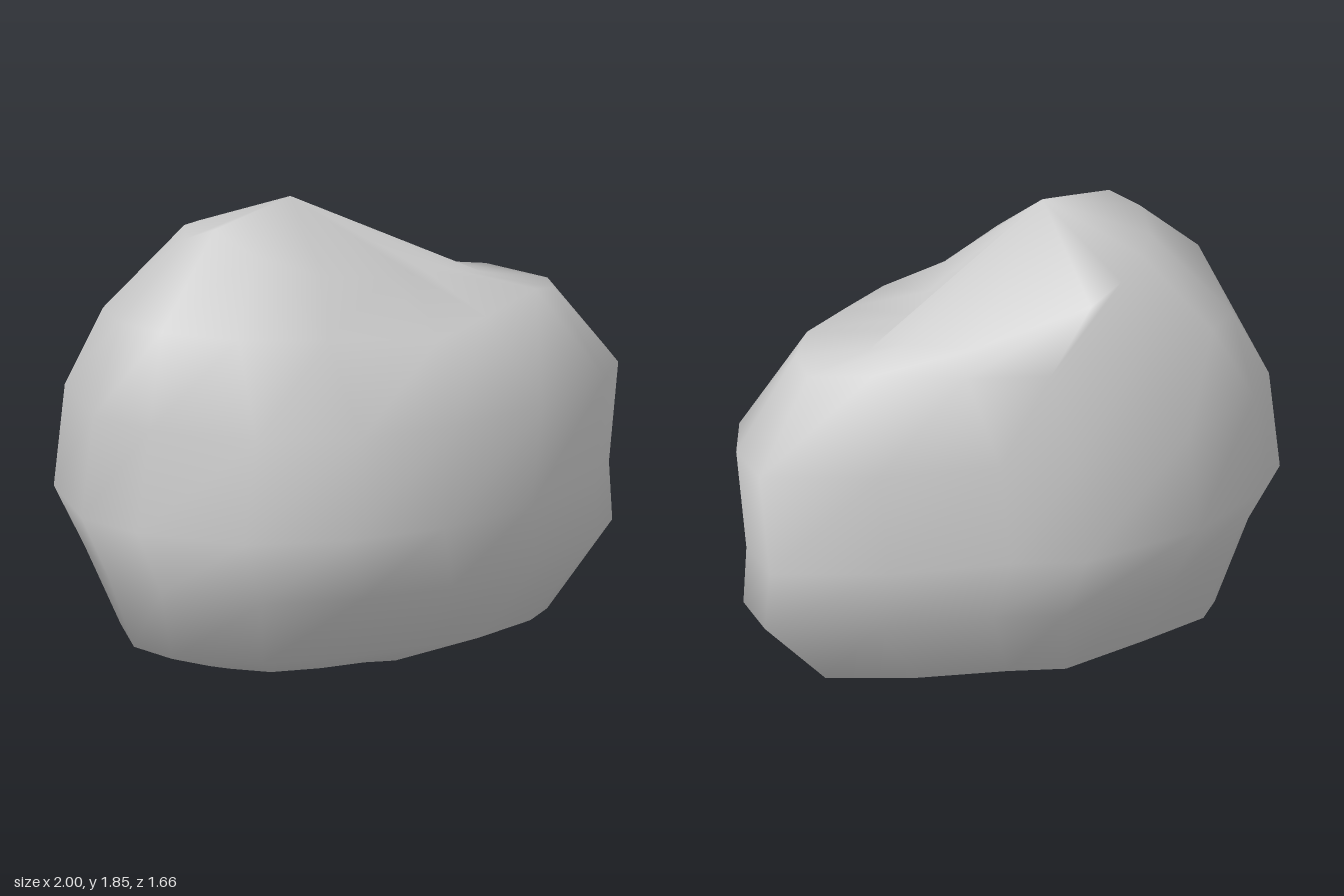
import * as THREE from 'three';

// Plan outline (x, z), counterclockwise seen from above
const outline = [
  [0.88, -0.83], [0.42, -0.79], [-0.04, -0.66], [-0.33, -0.62], [-0.74, -0.32],
  [-0.96, 0.03], [-1, 0.23], [-0.78, 0.63], [-0.52, 0.77], [-0.08, 0.82],
  [0.3, 0.66], [0.61, 0.41], [0.86, 0.04], [1, -0.38], [0.99, -0.62],
];

// Body sections from bottom to top: height, x range, z range
const sections = [
  [0.45, -0.88, 0.97, -0.83, 0.83],
  [0.68, -1, 0.96, -0.82, 0.83],
  [1.08, -0.96, 1, -0.8, 0.8],
];

// Narrow foot, in the same order as the outline
const foot = [
  [0.3, 0, -0.2], [0.18, 0, -0.2], [0, 0, -0.17], [-0.15, 0, -0.12], [-0.28, 0, -0.04],
  [-0.38, 0, 0.06], [-0.42, 0, 0.16], [-0.4, 0, 0.2], [-0.3, 0.02, 0.28], [-0.12, 0.04, 0.35],
  [0.05, 0.04, 0.25], [0.18, 0.03, 0.1], [0.27, 0.01, -0.02], [0.32, 0.01, -0.12], [0.32, 0, -0.18],
];

// Lower edge of the belly
const belly = [
  [0.65, 0.13, -0.6], [0.32, 0.13, -0.57], [-0.03, 0.13, -0.48], [-0.25, 0.13, -0.44], [-0.52, 0.14, -0.21],
  [-0.73, 0.13, 0.02], [-0.76, 0.13, 0.16], [-0.63, 0.13, 0.45], [-0.45, 0.13, 0.57], [-0.1, 0.13, 0.55],
  [0.2, 0.14, 0.4], [0.42, 0.14, 0.22], [0.6, 0.13, 0], [0.73, 0.13, -0.28], [0.75, 0.13, -0.45],
];

// Rim of the shoulder
const shoulder = [
  [0.72, 1.4, -0.57], [0.47, 1.43, -0.6], [0.12, 1.4, -0.53], [-0.2, 1.42, -0.52], [-0.52, 1.42, -0.3],
  [-0.77, 1.4, -0.05], [-0.83, 1.37, 0.15], [-0.66, 1.44, 0.56], [-0.45, 1.46, 0.72], [-0.15, 1.45, 0.71],
  [0.15, 1.42, 0.52], [0.51, 1.37, 0.25], [0.63, 1.4, 0], [0.75, 1.44, -0.28], [0.78, 1.41, -0.42],
];

// Foot of the peak, dipping into the saddle on the +x side
const crown = [
  [0.5, 1.45, -0.42], [0.36, 1.48, -0.42], [0.1, 1.47, -0.42], [-0.34, 1.65, -0.38], [-0.44, 1.67, -0.2],
  [-0.5, 1.69, -0.02], [-0.52, 1.71, 0.12], [-0.46, 1.72, 0.33], [-0.34, 1.77, 0.35], [-0.17, 1.7, 0.42],
  [0.08, 1.61, 0.33], [0.27, 1.56, 0.1], [0.31, 1.53, -0.08], [0.33, 1.5, -0.22], [0.42, 1.48, -0.32],
];

// Stretch the outline to fill a section's ranges
function ringPoints([y, x0, x1, z0, z1]) {
  return outline.map(([x, z]) => [
    THREE.MathUtils.mapLinear(x, -1, 1, x0, x1),
    y,
    THREE.MathUtils.mapLinear(z, -0.83, 0.82, z0, z1),
  ]);
}

function boulderGeometry() {
  const n = outline.length;
  const rings = [foot, belly, ...sections.map(ringPoints), shoulder, crown];
  const points = rings.flat();
  const index = [];

  // Skin between neighbouring rings
  for (let r = 0; r < rings.length - 1; r++) {
    for (let i = 0; i < n; i++) {
      const a = r * n + i;
      const b = r * n + (i + 1) % n;
      index.push(a, b, b + n, a, b + n, a + n);
    }
  }

  // Underside and peak
  const base = points.push([-0.05, 0, 0]) - 1;
  const peak = points.push([-0.11, 1.85, 0.1]) - 1;
  const last = (rings.length - 1) * n;
  for (let i = 0; i < n; i++) {
    const j = (i + 1) % n;
    index.push(base, j, i, peak, last + i, last + j);
  }

  const geometry = new THREE.BufferGeometry();
  geometry.setAttribute('position', new THREE.Float32BufferAttribute(points.flat(), 3));
  geometry.setIndex(index);
  geometry.computeVertexNormals();
  return geometry;
}

export function createModel() {
  const group = new THREE.Group();
  group.name = 'rock';
  const boulder = new THREE.Mesh(
    boulderGeometry(),
    new THREE.MeshStandardMaterial({ color: 0xcccccc }),
  );
  boulder.name = 'boulder';
  group.add(boulder);
  return group;
}
